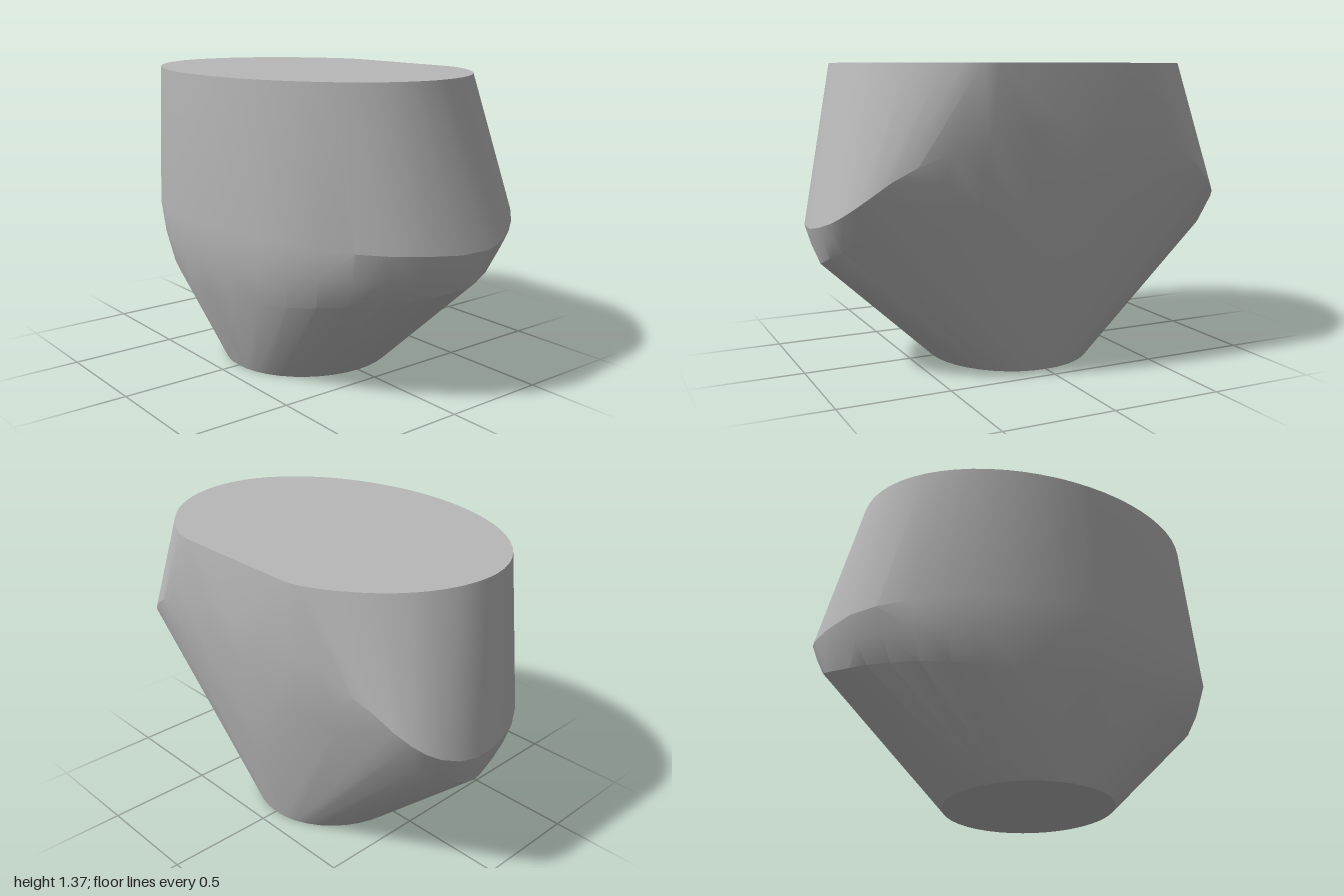
import * as THREE from 'three';
import { toCreasedNormals } from 'three/addons/utils/BufferGeometryUtils.js';
import { ConvexGeometry } from 'three/addons/geometries/ConvexGeometry.js';

const V = (x, y, z) => new THREE.Vector3(x, y, z);

// Closed smooth ring from a half outline (front to back), mirrored across x
function mirroredRing(half, count) {
  const left = half.map((p) => V(...p));
  const right = left.slice(1, -1).reverse().map((p) => V(-p.x, p.y, p.z));
  const curve = new THREE.CatmullRomCurve3([...left, ...right], true);
  return curve.getPoints(count).slice(0, -1);
}

// Level ellipse; the back may have its own depth and be cut straight
function levelRing(cx, y, rx, front, back, cut, count) {
  return Array.from({ length: count }, (_, i) => {
    const a = (i / count) * Math.PI * 2;
    const s = Math.cos(a);
    return V(cx + rx * Math.sin(a), y, s > 0 ? s * front : Math.max(s * back, -cut));
  });
}

export function createModel() {
  const group = new THREE.Group();
  const grey = new THREE.MeshStandardMaterial({ color: 0xb8b8b8 });
  grey.name = 'plain grey';

  const n = 40;
  // Belly line, rising towards the back
  const upper = mirroredRing([
    [0, 0.73, 0.622], [0.42, 0.72, 0.545], [0.7, 0.7, 0.4], [0.92, 0.69, 0.17],
    [1, 0.68, -0.16], [0.95, 0.73, -0.35], [0.86, 0.81, -0.45], [0.7, 0.93, -0.52],
    [0.4, 1.05, -0.6], [0, 1.1, -0.622],
  ], n);
  // Lower edge of the rounded belly
  const lower = mirroredRing([
    [0, 0.4, 0.57], [0.36, 0.41, 0.51], [0.63, 0.44, 0.37], [0.83, 0.47, 0.15],
    [0.92, 0.5, -0.04], [0.945, 0.53, -0.16], [0.89, 0.61, -0.33], [0.76, 0.71, -0.44],
    [0.42, 0.78, -0.555], [0, 0.7, -0.575],
  ], n);
  // Ring between the two, pushed out a little to round the belly
  const middle = upper.map((p, i) => {
    const m = p.clone().add(lower[i]).multiplyScalar(0.5);
    return V(m.x * 1.012, m.y, m.z * (m.z > 0 ? 1.015 : 1.003));
  });

  const points = [
    ...levelRing(0, 0, 0.385, 0.41, 0.418, 1, n),
    ...lower, ...middle, ...upper,
    V(0, 0.35, -0.51),
    ...levelRing(-0.01, 1.372, 0.845, 0.607, 0.67, 0.605, 64),
  ];
  const body = new THREE.Mesh(toCreasedNormals(new ConvexGeometry(points), 0.3), grey);
  body.name = 'body';
  group.add(body);
  return group;
}
